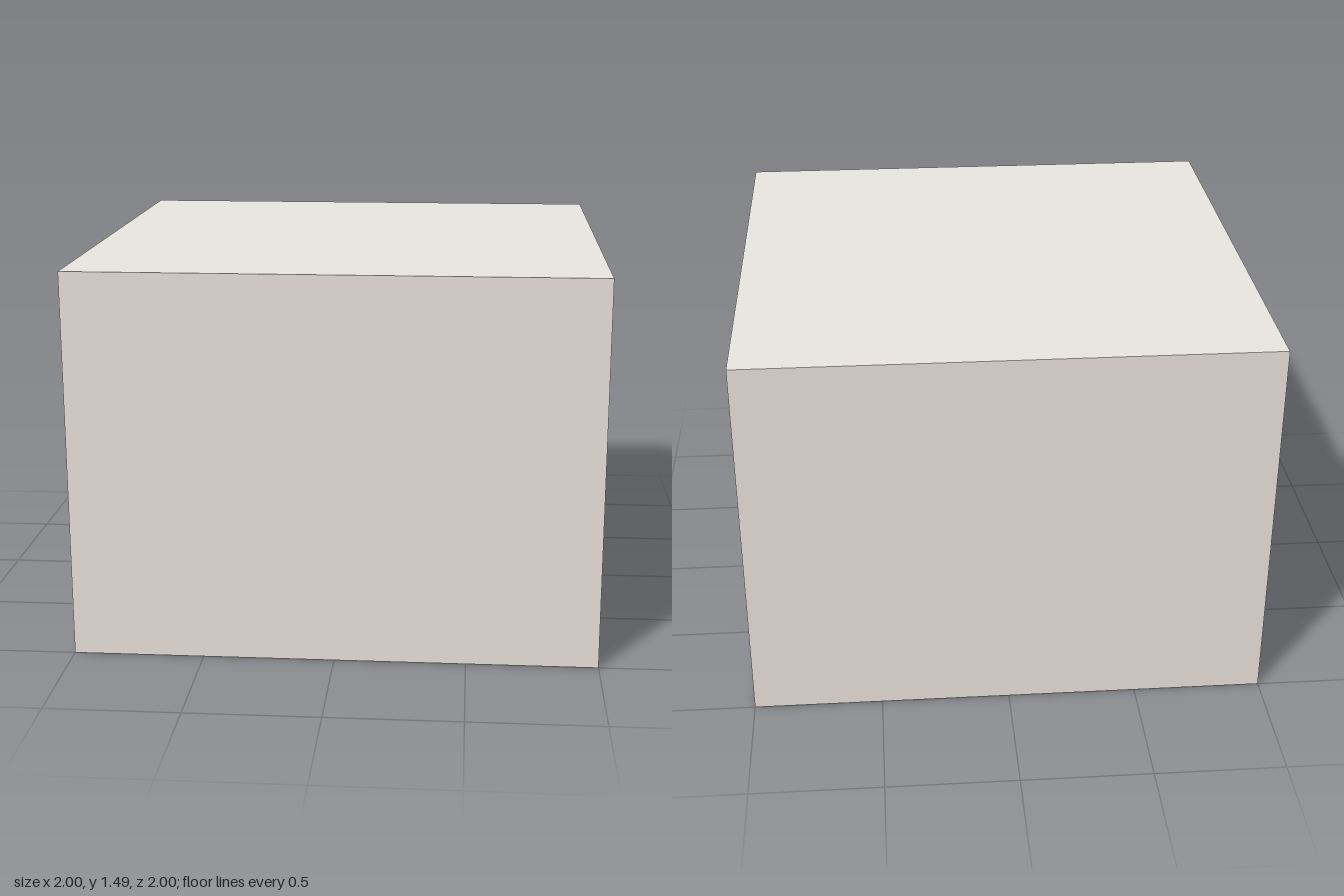
import * as THREE from 'three';

const SIZE = 2;
const HEIGHT = 1.485;

export function createModel() {
  const room = new THREE.Group();
  room.name = 'room';

  const material = (color) => new THREE.MeshStandardMaterial({ color, side: THREE.DoubleSide });
  const wallMaterial = material(0xe8e0d8);
  const floorMaterial = material(0xd2b48c);
  const ceilingMaterial = material(0xe8e4de);

  const add = (name, geometry, mat) => {
    const mesh = new THREE.Mesh(geometry, mat);
    mesh.name = name;
    room.add(mesh);
    return mesh;
  };

  // Floor and ceiling: thin square sheets
  add('floor', new THREE.PlaneGeometry(SIZE, SIZE).rotateX(-Math.PI / 2), floorMaterial);
  add('ceiling', new THREE.PlaneGeometry(SIZE, SIZE).rotateX(-Math.PI / 2), ceilingMaterial)
    .position.y = HEIGHT;

  // Wall with a square window opening
  const windowShape = new THREE.Shape([
    new THREE.Vector2(-SIZE / 2, 0),
    new THREE.Vector2(SIZE / 2, 0),
    new THREE.Vector2(SIZE / 2, HEIGHT),
    new THREE.Vector2(-SIZE / 2, HEIGHT),
  ]);
  windowShape.holes.push(new THREE.Path([
    new THREE.Vector2(-0.345, 0.515),
    new THREE.Vector2(-0.345, 1.2),
    new THREE.Vector2(0.345, 1.2),
    new THREE.Vector2(0.345, 0.515),
  ]));

  // Four walls, each turned a further quarter about the room's centre
  ['frontWall', 'windowWall', 'backWall', 'plainSideWall'].forEach((name, i) => {
    const geometry = name === 'windowWall'
      ? new THREE.ShapeGeometry(windowShape)
      : new THREE.PlaneGeometry(SIZE, HEIGHT).translate(0, HEIGHT / 2, 0);
    geometry.translate(0, 0, SIZE / 2);
    add(name, geometry, wallMaterial).rotation.y = i * Math.PI / 2;
  });

  return room;
}
